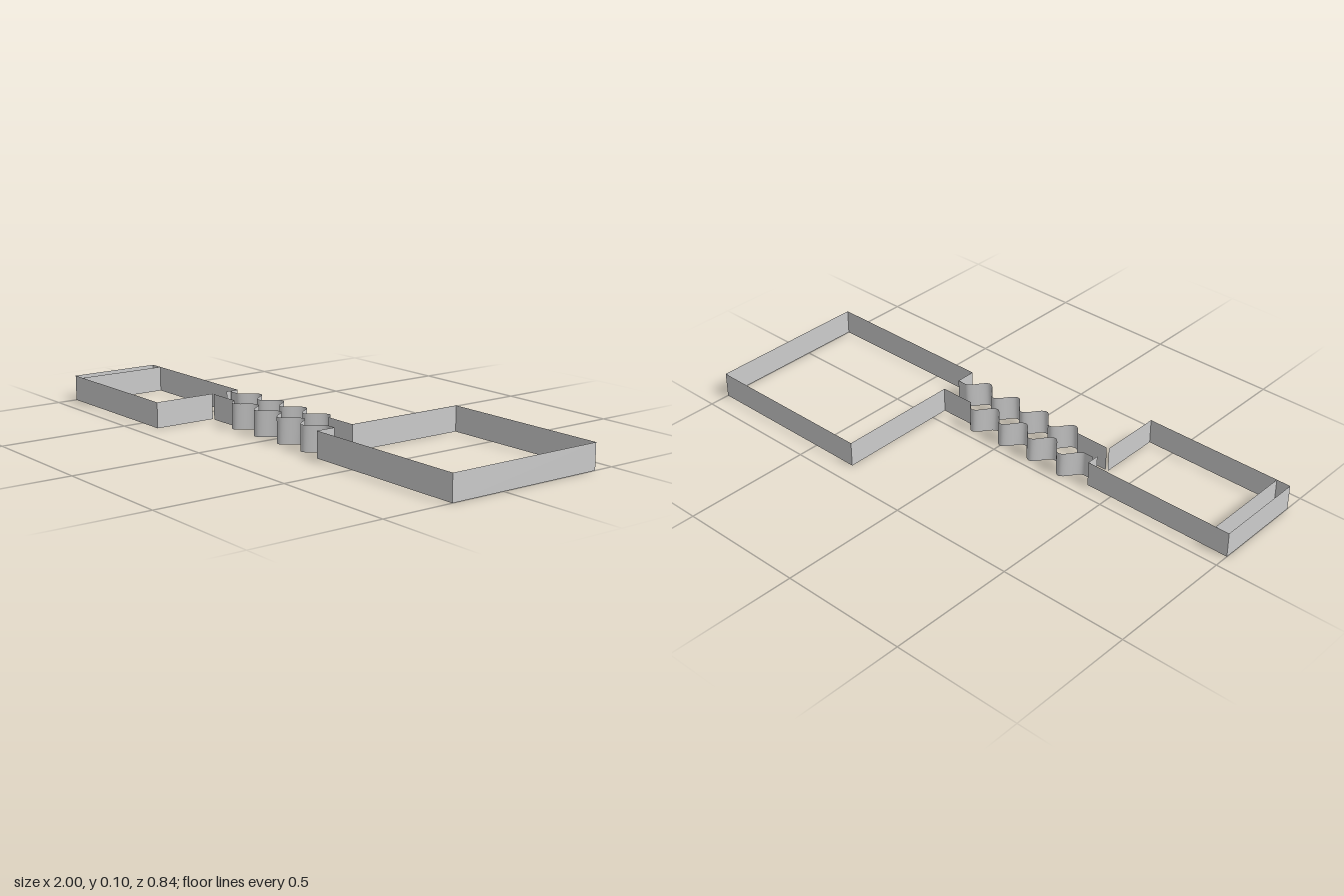
import * as THREE from 'three';

const HEIGHT = 0.098;
const material = new THREE.MeshStandardMaterial({ color: 0xcccccc, side: THREE.DoubleSide });

// Thin upright strip following a plan path of [x, z] points
function strip(name, points, smooth = false) {
  const positions = [];
  const index = [];
  const add = ([x, z]) => positions.push(x, 0, z, x, HEIGHT, z);
  const quad = (i) => index.push(i, i + 2, i + 3, i, i + 3, i + 1);
  if (smooth) {
    points.forEach(add);
    for (let i = 0; i < points.length - 1; i++) quad(i * 2);
  } else {
    for (let i = 0; i < points.length - 1; i++) {
      add(points[i]);
      add(points[i + 1]);
      quad(i * 4);
    }
  }
  const geometry = new THREE.BufferGeometry();
  geometry.setAttribute('position', new THREE.Float32BufferAttribute(positions, 3));
  geometry.setIndex(index);
  geometry.computeVertexNormals();
  const mesh = new THREE.Mesh(geometry, material);
  mesh.name = name;
  return mesh;
}

// Corrugated path: straight lead-in, then four bumps ending in a trough
function wavePath() {
  const start = -0.25, period = 0.14, base = 0.175, amplitude = 0.032;
  const points = [[-0.385, base], [-0.32, base]];
  const steps = 90;
  for (let i = 0; i <= steps; i++) {
    const t = (i / steps) * 3.75;
    points.push([start + t * period, base + amplitude * Math.sin(t * Math.PI * 2)]);
  }
  points.push([0.31, base - amplitude]);
  return points;
}

export function createModel() {
  const group = new THREE.Group();
  group.name = 'wallOutline';

  // Corridor: the second wall is the first turned half a turn about the corridor centre
  const front = wavePath();
  const back = front.map(([x, z]) => [-0.075 - x, 0.24 - z]);
  group.add(strip('frontWavyWall', front, true));
  group.add(strip('backWavyWall', back, true));

  // Large room, open towards the corridor
  group.add(strip('largeRoomWalls', [
    [0.31, 0.143], [0.31, 0.22], [1, 0.22], [1, -0.42], [0.31, -0.42], [0.31, 0.065],
  ]));

  // Small room with a doorway and an inner partition
  group.add(strip('smallRoomWalls', [
    [-0.395, 0.175], [-0.395, 0.42], [-1, 0.42], [-1, 0.06], [-0.395, 0.06], [-0.395, 0.11],
  ]));
  group.add(strip('smallRoomPartition', [[-0.945, 0.06], [-0.945, 0.42]]));

  return group;
}
